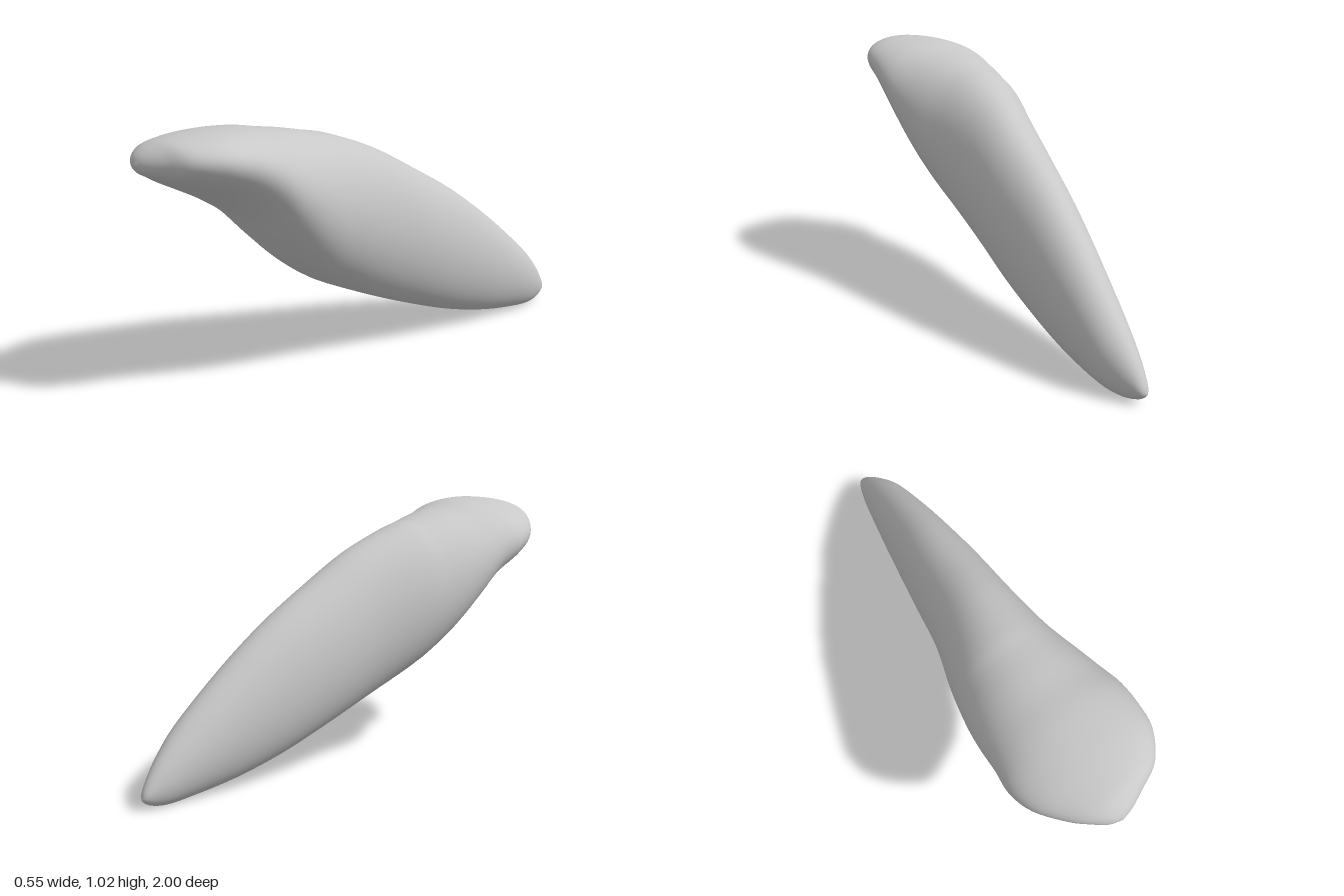
import * as THREE from 'three';
import { mergeVertices } from 'three/addons/utils/BufferGeometryUtils.js';

// Cross-sections from the broad crown to the pointed root: z, bottom, top, right edge, left edge, tilt
const SECTIONS = [
  [1.0, 0.93, 0.93, -0.02, -0.02, 0],
  [0.985, 0.9, 0.962, -0.07, 0.03, 0.03],
  [0.95, 0.878, 0.99, -0.12, 0.1, 0.06],
  [0.9, 0.85, 1.01, -0.175, 0.185, 0.1],
  [0.8, 0.8, 1.02, -0.25, 0.25, 0.12],
  [0.7, 0.745, 1.02, -0.278, 0.268, 0.12],
  [0.6, 0.67, 1.013, -0.268, 0.275, 0.09],
  [0.5, 0.56, 0.993, -0.26, 0.268, 0.06],
  [0.4, 0.46, 0.975, -0.246, 0.256, 0.04],
  [0.3, 0.385, 0.952, -0.225, 0.24, 0.02],
  [0.2, 0.33, 0.928, -0.2, 0.226, 0],
  [0.0, 0.24, 0.85, -0.138, 0.216, 0],
  [-0.2, 0.16, 0.738, -0.1, 0.22, 0],
  [-0.4, 0.09, 0.618, -0.062, 0.216, 0],
  [-0.6, 0.04, 0.47, -0.022, 0.21, 0],
  [-0.8, 0.012, 0.3, 0.02, 0.195, 0],
  [-0.9, 0.008, 0.2, 0.045, 0.165, 0],
  [-0.96, 0.02, 0.127, 0.065, 0.135, 0],
  [-0.99, 0.036, 0.08, 0.08, 0.115, 0],
  [-1.0, 0.05, 0.05, 0.095, 0.095, 0],
];
const AROUND = 56;
const ALONG = (SECTIONS.length - 1) * 4;

// Smooth curve through three chosen columns of the section list
const through = (a, b, c) => new THREE.CatmullRomCurve3(
  SECTIONS.map((s) => new THREE.Vector3(s[a], s[b], s[c])), false, 'catmullrom', 0.5);

function loftGeometry() {
  const heights = through(0, 1, 2);
  const widths = through(5, 3, 4);
  const positions = [];
  const indices = [];
  for (let i = 0; i <= ALONG; i++) {
    const { x: z, y: bottom, z: top } = heights.getPoint(i / ALONG);
    const { x: tilt, y: x0, z: x1 } = widths.getPoint(i / ALONG);
    for (let j = 0; j < AROUND; j++) {
      const angle = (j / AROUND) * Math.PI * 2;
      const dx = Math.cos(angle) * (x1 - x0) / 2;
      const dy = Math.sin(angle) * (top - bottom) / 2;
      positions.push((x0 + x1) / 2 + dx, (top + bottom) / 2 + dy + tilt * dx, z);
      if (i === ALONG) continue;
      const a = i * AROUND + j;
      const b = i * AROUND + (j + 1) % AROUND;
      const c = a + AROUND;
      const d = b + AROUND;
      if (i > 0) indices.push(a, c, b);
      if (i < ALONG - 1) indices.push(b, c, d);
      if (i === 0) indices.push(a, c, d);
      if (i === ALONG - 1) indices.push(b, a, d);
    }
  }
  // The last ring closes on one point, so a single triangle per step is enough
  const geometry = new THREE.BufferGeometry();
  geometry.setAttribute('position', new THREE.Float32BufferAttribute(positions, 3));
  geometry.setIndex(indices.filter((_, k) => k < indices.length));
  const merged = mergeVertices(geometry, 1e-5);
  merged.computeVertexNormals();
  return merged;
}

export function createModel() {
  const group = new THREE.Group();
  group.name = 'taperedTooth';
  const paleGrey = new THREE.MeshStandardMaterial({ color: 0xc8c8c8 });
  paleGrey.name = 'paleGrey';
  const body = new THREE.Mesh(loftGeometry(), paleGrey);
  body.name = 'toothBody';
  group.add(body);
  return group;
}
